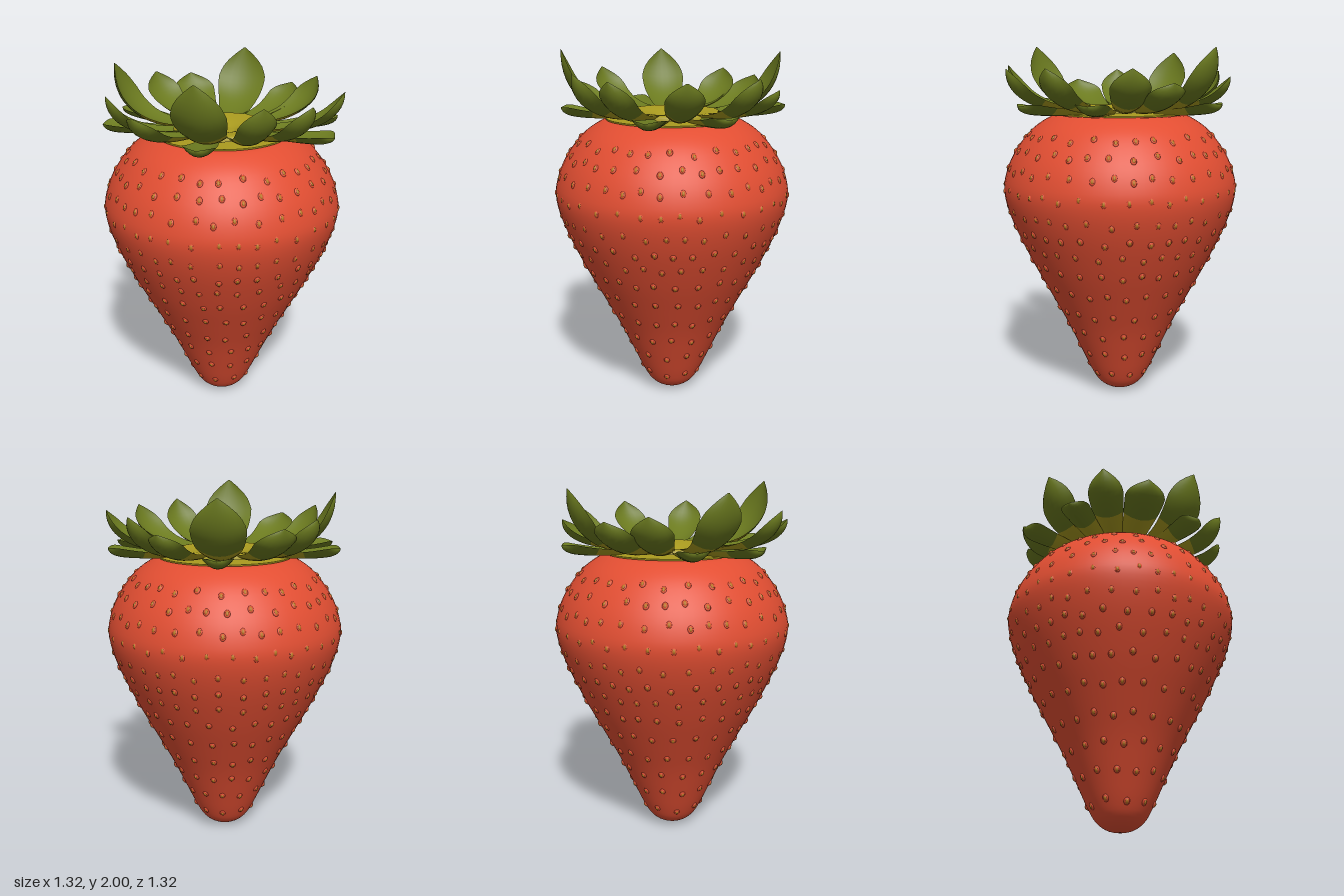
import * as THREE from 'three';
import { mergeGeometries } from 'three/addons/utils/BufferGeometryUtils.js';

const mat = (name, color, side = THREE.FrontSide) => {
  const m = new THREE.MeshStandardMaterial({ color, side });
  m.name = name;
  return m;
};

// Piecewise-linear lookup of a sorted list of [key, value] pairs
function lookup(points, k) {
  for (let i = 1; i < points.length; i++) {
    const [k0, v0] = points[i - 1], [k1, v1] = points[i];
    if (k <= k1) return v0 + (v1 - v0) * (k - k0) / (k1 - k0);
  }
  return points[points.length - 1][1];
}

const smoothProfile = (pairs, n) =>
  new THREE.SplineCurve(pairs.map(([x, y]) => new THREE.Vector2(x, y)))
    .getPoints(n).map(p => new THREE.Vector2(Math.max(p.x, 0), p.y));

const FRUIT = [[0, 0], [0.07, 0.012], [0.13, 0.055], [0.175, 0.13], [0.24, 0.27], [0.32, 0.44], [0.415, 0.62],
  [0.515, 0.81], [0.61, 1.02], [0.655, 1.18], [0.645, 1.29], [0.595, 1.41], [0.505, 1.53], [0.41, 1.6],
  [0.34, 1.62], [0.2, 1.605], [0, 1.57]];

const LEAF_WIDTH = [[0, 0.6], [0.15, 0.68], [0.3, 0.79], [0.45, 0.91], [0.6, 0.99], [0.7, 1],
  [0.8, 0.87], [0.88, 0.64], [0.95, 0.33], [1, 0.03]];

// Cupped leaf: a grid swept along a rising curve, with a thin lens-shaped section
function leafGeometry(tipX, tipZ, tipY, halfWidth, baseY) {
  const NU = 16, NV = 8, stride = NV + 1;
  const angle = Math.atan2(tipZ, tipX), R = Math.hypot(tipX, tipZ);
  const c = Math.cos(angle), s = Math.sin(angle);
  const curve = new THREE.QuadraticBezierCurve(
    new THREE.Vector2(0.24, baseY), new THREE.Vector2(R * 0.92, baseY + 0.01), new THREE.Vector2(R, tipY));
  const pos = [], top = [], bottom = [];
  for (const under of [0, 1]) {
    for (let i = 0; i <= NU; i++) {
      const u = i / NU, p = curve.getPoint(u), t = curve.getTangent(u), f = lookup(LEAF_WIDTH, u);
      for (let j = 0; j <= NV; j++) {
        const v = j / NV * 2 - 1;
        const off = 0.03 * f * v * v - under * 0.022 * f * (1 - v * v);
        const r = p.x - t.y * off, y = p.y + t.x * off, w = v * f * halfWidth;
        pos.push(c * r - s * w, y, s * r + c * w);
      }
    }
  }
  const shift = (NU + 1) * stride;
  for (let i = 0; i < NU; i++) for (let j = 0; j < NV; j++) {
    const a = i * stride + j, b = a + stride;
    top.push(a, a + 1, b, b, a + 1, b + 1);
    bottom.push(...[a, b, a + 1, b, b + 1, a + 1].map(k => k + shift));
  }
  const g = new THREE.BufferGeometry();
  g.setAttribute('position', new THREE.Float32BufferAttribute(pos, 3));
  g.setIndex([...top, ...bottom]);
  g.computeVertexNormals();
  // Green above, yellow at the root of the underside, green to the tip
  const root = 6 * NV * 6;
  g.addGroup(0, top.length, 0);
  g.addGroup(top.length, root, 1);
  g.addGroup(top.length + root, bottom.length - root, 0);
  return g;
}

export function createModel() {
  const model = new THREE.Group();
  model.name = 'strawberry';
  const red = mat('fruit red', 0xe24e32);
  const gold = mat('seed gold', 0xb87624);
  const green = mat('leaf green', 0x6b7a1f, THREE.DoubleSide);
  const yellow = mat('crown yellow', 0xaa9b1f, THREE.DoubleSide);
  const add = (name, geometry, material) => {
    const m = new THREE.Mesh(geometry, material);
    m.name = name;
    model.add(m);
    return m;
  };

  // Fruit body
  add('fruit', new THREE.LatheGeometry(smoothProfile(FRUIT, 64), 64), red);

  // Seeds in rows, each set into a small red mound
  const side = FRUIT.slice(0, 14).map(([r, y]) => [y, r]);
  const seeds = [], mounds = [];
  [0.13, 0.27, 0.4, 0.53, 0.67, 0.8, 0.91, 1.0, 1.1, 1.22, 1.33, 1.43, 1.51].forEach((y, row) => {
    const r = lookup(side, y);
    const slope = (lookup(side, y + 0.03) - lookup(side, y - 0.03)) / 0.06;
    const count = Math.round(2 * Math.PI * r / 0.11);
    for (let k = 0; k < count; k++) {
      const a = Math.PI / 2 + k / count * Math.PI * 2 + 0.03 * Math.sin(k * 5.3 + row);
      const yy = y + 0.012 * Math.sin(k * 3.7 + row * 2);
      const rr = lookup(side, yy);
      // Keep the long axis of the seed pointing up the fruit
      const n = new THREE.Vector3(Math.cos(a), -slope, Math.sin(a)).normalize();
      const up = new THREE.Vector3(0, 1, 0).addScaledVector(n, -n.y).normalize();
      const across = new THREE.Vector3().crossVectors(up, n);
      const q = new THREE.Quaternion().setFromRotationMatrix(new THREE.Matrix4().makeBasis(across, up, n));
      const place = (lift, sx, sy, sz) => new THREE.SphereGeometry(1, 8, 6).applyMatrix4(
        new THREE.Matrix4().compose(
          new THREE.Vector3(Math.cos(a) * rr, yy, Math.sin(a) * rr).addScaledVector(n, lift),
          q, new THREE.Vector3(sx, sy, sz)));
      mounds.push(place(0, 0.017, 0.021, 0.009));
      seeds.push(place(0.004, 0.0095, 0.014, 0.008));
    }
  });
  add('seedMounds', mergeGeometries(mounds), red);
  add('seeds', mergeGeometries(seeds), gold);

  // Leaves: tip x, tip z, tip height, half width
  const leaves = [
    [0.01, -0.6, 1.98, 0.14], [0.31, -0.53, 1.8, 0.105], [0.47, -0.39, 1.87, 0.105], [0.61, -0.22, 1.69, 0.085],
    [0.655, 0, 1.87, 0.1], [0.63, 0.2, 1.68, 0.085], [0.53, 0.37, 1.87, 0.1], [0.32, 0.54, 1.89, 0.1],
    [0, 0.6, 2.0, 0.14], [-0.33, 0.54, 1.81, 0.115], [-0.52, 0.37, 1.87, 0.1], [-0.61, 0.2, 1.68, 0.085],
    [-0.6, 0, 1.97, 0.125], [-0.62, -0.18, 1.69, 0.085], [-0.48, -0.37, 1.86, 0.11], [-0.31, -0.53, 1.83, 0.12],
    [0.01, -0.64, 1.69, 0.08], [0.01, 0.61, 1.69, 0.085],
  ];
  leaves.forEach(([x, z, y, w], i) => {
    add('leaf' + (i + 1), leafGeometry(x, z, y, w, y < 1.72 ? 1.635 : 1.648), [green, yellow]);
  });

  // Crown disc with a dimple, a thin skirt below the leaves, and the stub of the stem
  const crown = [[0, 1.6], [0.04, 1.605], [0.075, 1.632], [0.13, 1.652], [0.21, 1.664], [0.26, 1.664], [0.272, 1.64]];
  add('crown', new THREE.LatheGeometry(smoothProfile(crown, 28), 48), yellow);
  add('crownSkirt', new THREE.CylinderGeometry(0.37, 0.37, 0.008, 48), yellow).position.y = 1.626;
  const stub = add('stemStub', new THREE.SphereGeometry(0.026, 12, 8), green);
  stub.scale.y = 0.5;
  stub.position.set(-0.05, 1.625, 0.015);
  return model;
}
